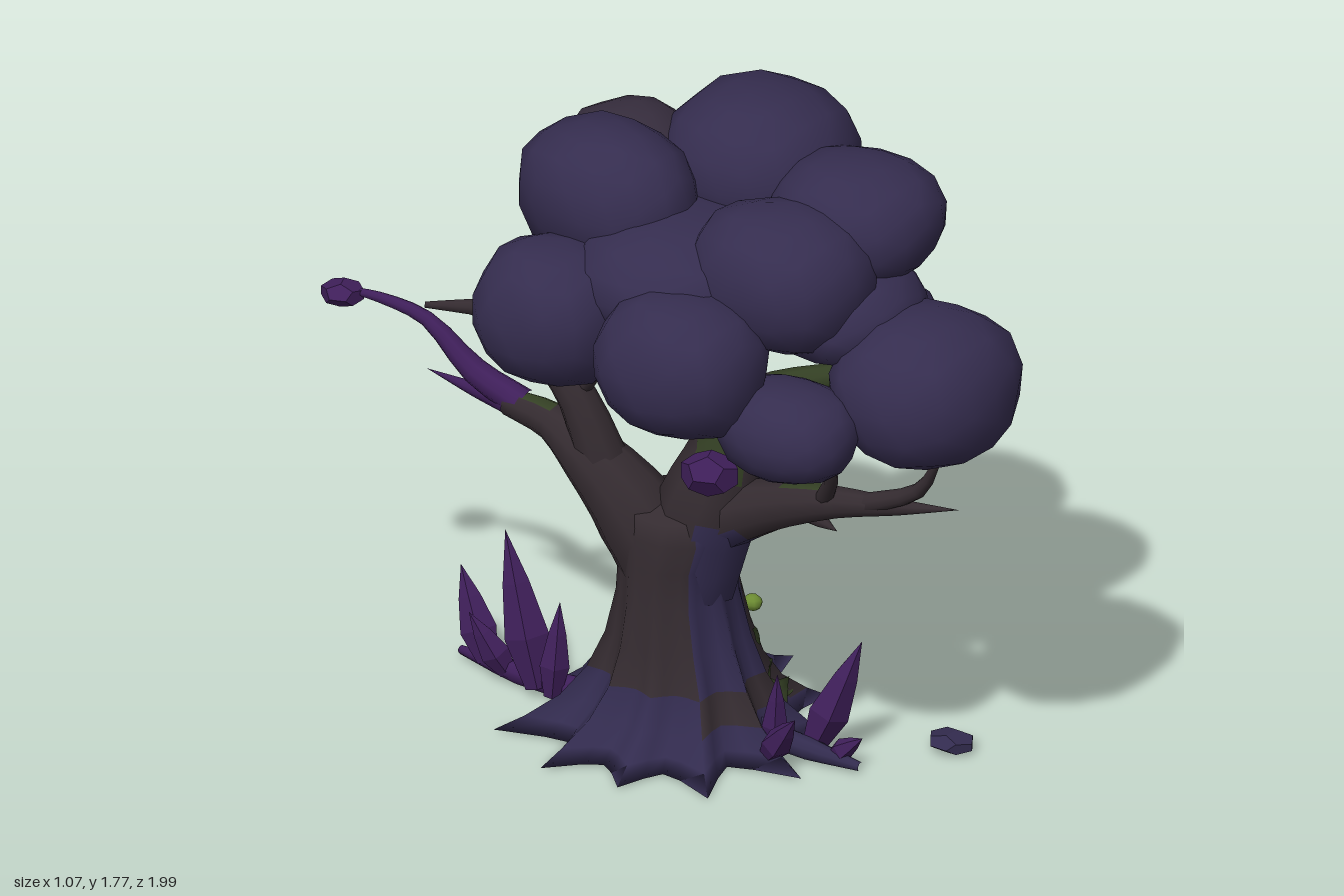
import * as THREE from 'three';
import { mergeVertices } from 'three/addons/utils/BufferGeometryUtils.js';

const paint = (name, color) => {
  const m = new THREE.MeshStandardMaterial({ color });
  m.name = name;
  return m;
};
const foliage = paint('duskFoliage', 0x352d4f);
const withered = paint('witheredFoliage', 0x352c3c);
const rootBlue = paint('blueBark', 0x322b4e);
const bark = paint('brownBark', 0x342b30);
const moss = paint('darkMoss', 0x344024);
const glow = paint('brightMoss', 0x6c8b32);
const crystal = paint('purpleCrystal', 0x3f1f5a);

// Grid surface from fn(u, v); pick(u, v) chooses a material index for each quad
function surface(fn, nu, nv, wrap, pick = () => 0) {
  const pos = [], lists = [], cols = wrap ? nu : nu + 1;
  for (let j = 0; j <= nv; j++)
    for (let i = 0; i < cols; i++) pos.push(...fn(i / nu, j / nv).toArray());
  for (let j = 0; j < nv; j++)
    for (let i = 0; i < nu; i++) {
      const k = (i + 1) % cols, a = j * cols + i, b = j * cols + k;
      const list = (lists[pick((i + 0.5) / nu, (j + 0.5) / nv)] ??= []);
      list.push(a, b, b + cols, a, b + cols, a + cols);
    }
  const g = new THREE.BufferGeometry();
  g.setAttribute('position', new THREE.Float32BufferAttribute(pos, 3));
  const index = [];
  lists.forEach((l, m) => { g.addGroup(index.length, l.length, m); index.push(...l); });
  g.setIndex(index);
  g.computeVertexNormals();
  return g;
}

// Value of a table column at t in 0..1
function sample(rows, col, t) {
  const f = t * (rows.length - 1), i = Math.min(Math.floor(f), rows.length - 2);
  return THREE.MathUtils.lerp(rows[i][col], rows[i + 1][col], f - i);
}

// Round tapering limb through rows of [x, y, z, radius]; u = 0 faces +x
function limbShape(rows) {
  const curve = new THREE.CatmullRomCurve3(rows.map(r => new THREE.Vector3(r[0], r[1], r[2])));
  return (u, v, lift = 0) => {
    const t = curve.getTangent(v), a = u * Math.PI * 2;
    const n = new THREE.Vector3(1, 0, 0).addScaledVector(t, -t.x).normalize();
    const b = t.clone().cross(n), r = sample(rows, 3, v) + lift;
    return curve.getPoint(v).addScaledVector(n, r * Math.cos(a)).addScaledVector(b, r * Math.sin(a));
  };
}

export function createModel() {
  const tree = new THREE.Group();
  tree.name = 'tree';
  const add = (name, geometry, material) => {
    const m = new THREE.Mesh(geometry, material);
    m.name = name;
    tree.add(m);
    return m;
  };
  const limb = (name, rows, mats = bark, pick, sides = 9) => {
    const fn = limbShape(rows);
    const list = Array.isArray(mats) ? mats : [mats];
    add(name, surface(fn, sides, (rows.length - 1) * 3, true, pick), list);
    return fn;
  };
  // Thin ragged strip lying on a limb or trunk surface
  const strip = (name, fn, u0, u1, v0, v1, width, mat) =>
    add(name, surface((u, v) => {
      const wave = 0.02 * Math.sin(v * 13) + (u - 0.5) * width * (0.6 + 0.4 * Math.sin(v * 9 + 1));
      return fn(u0 + (u1 - u0) * v + wave, v0 + (v1 - v0) * v, 0.006);
    }, 2, 14, false), mat);

  // Trunk with star-shaped roots: rows of [y, radiusX, radiusZ, root length, centreZ]
  const T = [
    [0.01, 0, 0, 0, -0.04], [0.01, 0.31, 0.28, 0.16, -0.04], [0.045, 0.28, 0.26, 0.11, -0.04],
    [0.1, 0.23, 0.225, 0.07, -0.035], [0.18, 0.19, 0.19, 0.045, -0.03], [0.28, 0.175, 0.16, 0.025, -0.03],
    [0.4, 0.162, 0.14, 0.012, -0.035], [0.5, 0.158, 0.14, 0.008, -0.035],
    [0.58, 0.157, 0.165, 0.004, -0.03], [0.64, 0.145, 0.15, 0, -0.03], [0.67, 0, 0, 0, -0.03],
  ];
  const trunk = (u, v, lift = 0) => {
    const a = u * Math.PI * 2, s = c => sample(T, c, v);
    const root = s(3) * (1 - Math.abs(Math.sin(5.5 * a))) * (0.85 + 0.25 * Math.sin(a * 3 + 1));
    return new THREE.Vector3(0.067 + Math.cos(a) * (s(1) + root + lift), s(0),
      s(4) - Math.sin(a) * (s(2) + root + lift));
  };
  add('trunkAndRoots', surface(trunk, 44, 10, true, (u, v) => {
    const front = u > 0.64 && u < 0.88, ridge = u > 0.88 && u < 0.96;
    return (v > 0.4 && !front) || (ridge && v > 0.2) || (front && v > 0.3 && v < 0.4) ? 1 : 0;
  }), [rootBlue, bark]);
  strip('trunkVein', trunk, -0.05, 0.1, 0.51, 0.67, 0.06, glow);
  strip('trunkMoss', trunk, -0.13, -0.06, 0.22, 0.5, 0.05, moss);
  add('mossKnob', new THREE.SphereGeometry(0.022, 8, 6).scale(1.1, 1, 1.2), glow).position.set(0.26, 0.3, 0.05);

  // Main stem and the limbs that carry the crown
  const stem = limb('mainStem', [[0.07, 0.42, 0, 0.12], [0.085, 0.65, 0.05, 0.135], [0.1, 0.83, 0.1, 0.1],
    [0.1, 1, 0.08, 0.08], [0.11, 1.17, 0.14, 0.055], [0.14, 1.38, 0.2, 0.035]], [bark, moss, rootBlue],
    (u, v) => (v < 0.2 && u > 0.6 && u < 0.9) ? 2 : (v > 0.75 && u < 0.25) || (v > 0.35 && v < 0.5 && u > 0.4 && u < 0.7) ? 1 : 0);
  strip('stemVein', stem, 0.06, -0.01, 0.17, 0.95, 0.1, glow);
  limb('crownLimbFront', [[0.1, 0.9, 0.09, 0.06], [0.1, 1.02, 0.25, 0.05], [0.12, 1.12, 0.45, 0.03]],
    [bark, moss], (u, v) => v > 0.5 ? 1 : 0);
  const rear = limb('crownLimbBack', [[0.1, 0.95, 0.07, 0.07], [0.12, 1.17, -0.03, 0.055], [0.12, 1.4, -0.17, 0.04]],
    [bark, moss], (u, v) => v > 0.5 && u < 0.6 ? 1 : 0);
  strip('rearVein', rear, 0.02, 0, 0.65, 0.9, 0.1, glow);
  const twig = limb('crownTwigSide', [[0.12, 1.1, 0.12, 0.035], [0.28, 1.33, 0.16, 0.022], [0.43, 1.45, 0.18, 0]], moss);
  strip('twigVein', twig, 0.05, 0, 0.1, 0.6, 0.3, glow);

  // Bare front branch with twigs
  limb('frontBranch', [[0.08, 0.6, 0.04, 0.1], [0.08, 0.7, 0.24, 0.07], [0.08, 0.775, 0.46, 0.042],
    [0.11, 0.8, 0.63, 0.022], [0.14, 0.83, 0.8, 0]], [bark, moss, rootBlue],
    (u, v) => v < 0.17 && u > 0.5 ? 2 : v > 0.3 && v < 0.5 && u < 0.3 ? 1 : 0);
  limb('frontTwigLong', [[0.09, 0.79, 0.54, 0.028], [0.1, 0.87, 0.7, 0.02], [0.07, 1.02, 0.8, 0.006]]);
  limb('frontTwigShort', [[0.07, 0.77, 0.42, 0.025], [0.0, 0.9, 0.5, 0.016], [-0.08, 1.03, 0.5, 0.006]]);
  limb('leafTwig', [[0.0, 0.9, 0.5, 0.014], [-0.12, 0.98, 0.46, 0.01], [-0.32, 1.03, 0.39, 0.006]]);
  limb('frontSnag', [[0.1, 0.72, 0.3, 0.035], [0.09, 0.7, 0.4, 0.018], [0.09, 0.685, 0.45, 0]]);

  // Back limb: bare fork upward and a purple branch reaching out
  const back = limb('backLimb', [[0.04, 0.4, -0.03, 0.11], [0.01, 0.59, -0.12, 0.115], [-0.03, 0.74, -0.25, 0.08],
    [-0.03, 0.8, -0.37, 0.05], [-0.04, 0.82, -0.5, 0.036]], [bark, moss], (u, v) => v > 0.75 && (u < 0.3 || u > 0.7) ? 1 : 0);
  strip('backVein', back, 0, -0.08, 0.28, 0.52, 0.07, glow);
  limb('bareFork', [[-0.02, 0.7, -0.2, 0.07], [-0.05, 0.9, -0.27, 0.052], [-0.07, 1.02, -0.36, 0.042],
    [-0.1, 1.13, -0.42, 0.028], [-0.11, 1.28, -0.43, 0.012]]);
  limb('bareForkTip', [[-0.08, 1.04, -0.37, 0.035], [-0.14, 1.12, -0.48, 0.026], [-0.23, 1.13, -0.62, 0.008]]);
  limb('bareSnag', [[-0.04, 0.93, -0.27, 0.03], [-0.06, 1, -0.19, 0.01], [-0.06, 1.03, -0.12, 0]]);
  limb('purpleBranch', [[-0.03, 0.82, -0.46, 0.042], [-0.05, 0.88, -0.6, 0.035], [-0.08, 1, -0.73, 0.02],
    [-0.12, 1.04, -0.85, 0.014], [-0.15, 1.05, -0.93, 0.008]], crystal);
  limb('purpleTwig', [[-0.04, 0.82, -0.48, 0.036], [-0.02, 0.81, -0.62, 0.02], [0, 0.81, -0.79, 0]], crystal);

  // Purple bud leaves
  [[-0.155, 1.04, -0.94, 0.055, 0.034, 0.06], [-0.35, 1, 0.38, 0.06, 0.06, 0.08]].forEach(([x, y, z, ...s]) => {
    const g = new THREE.DodecahedronGeometry(1, 0).scale(...s).rotateY(0.4);
    add('budLeaf', g, crystal).position.set(x, y, z);
  });

  // Lumpy, slightly boxy foliage clumps: [x, y, z, rx, ry, rz]
  const clump = (name, [x, y, z, ...r], mat) => {
    let g = new THREE.IcosahedronGeometry(1, 2);
    g.deleteAttribute('normal');
    g.deleteAttribute('uv');
    g = mergeVertices(g);
    const p = g.attributes.position, v = new THREE.Vector3();
    for (let i = 0; i < p.count; i++) {
      v.fromBufferAttribute(p, i);
      const box = Math.cbrt(Math.abs(v.x) ** 3 + Math.abs(v.y) ** 3 + Math.abs(v.z) ** 3);
      const lump = 1 + 0.04 * Math.sin(v.x * 4 + x * 40) * Math.cos(v.z * 4 + z * 30 + v.y * 3);
      v.multiplyScalar(0.98 * lump / Math.sqrt(box));
      p.setXYZ(i, v.x * r[0], v.y * r[1], v.z * r[2]);
    }
    g.computeVertexNormals();
    add(name, g, mat).position.set(x, y, z);
  };
  [
    [0.05, 1.21, 0.765, 0.25, 0.205, 0.235], [-0.34, 1.28, 0.28, 0.19, 0.19, 0.23],
    [-0.24, 1.13, 0.55, 0.155, 0.13, 0.19], [-0.08, 1.46, 0.4, 0.21, 0.19, 0.25],
    [0.16, 1.555, 0.46, 0.21, 0.16, 0.23], [0.235, 1.58, 0.1, 0.25, 0.2, 0.25],
    [-0.1, 1.54, -0.13, 0.19, 0.195, 0.25], [0.07, 1.4, -0.31, 0.16, 0.115, 0.155],
    [-0.34, 1.31, -0.12, 0.19, 0.19, 0.21], [0.25, 1.22, 0.43, 0.13, 0.13, 0.21],
    [-0.1, 1.4, 0.12, 0.3, 0.17, 0.28], [0.04, 1.36, 0.5, 0.22, 0.13, 0.22],
  ].forEach(c => clump('foliageClump', c, foliage));
  clump('witheredClump', [0.08, 1.53, -0.2, 0.17, 0.17, 0.185], withered);

  // Faceted shards from a base point to a tip
  const shard = (name, [x, y, z, tx, ty, tz, r], mat) => {
    const at = (t, k) => [x + (tx - x) * t, y + (ty - y) * t, z + (tz - z) * t, r * k];
    const g = surface(limbShape([at(0, 0.55), at(0.33, 1), at(0.67, 0.6), at(1, 0)]), 5, 3, true).toNonIndexed();
    g.clearGroups();
    g.computeVertexNormals();
    add(name, g, mat);
  };
  [
    [0.13, 0.03, 0.34, 0.2, 0.33, 0.445, 0.055], [0.02, 0.03, 0.28, -0.02, 0.18, 0.4, 0.04],
    [0.06, 0.03, 0.27, 0.05, 0.25, 0.29, 0.035], [0.12, 0.03, 0.41, 0.13, 0.1, 0.5, 0.03],
    [-0.02, 0.03, -0.42, 0, 0.43, -0.54, 0.06], [0.02, 0.03, -0.61, 0.05, 0.26, -0.72, 0.05],
    [-0.04, 0.03, -0.36, -0.02, 0.29, -0.35, 0.04], [0, 0.03, -0.53, -0.06, 0.2, -0.61, 0.04],
    [0.36, 0.04, -0.22, 0.43, 0.17, -0.27, 0.05],
  ].forEach(c => shard('crystalShard', c, crystal));
  shard('barkThorn', [0.19, 0.28, -0.12, 0.26, 0.53, -0.29, 0.055], rootBlue);
  shard('barkThorn', [0.2, 0.06, -0.25, 0.31, 0.03, -0.47, 0.045], rootBlue);
  limb('crystalRootBack', [[0, 0.05, -0.25, 0.035], [0, 0.04, -0.5, 0.03], [0.04, 0.025, -0.71, 0.012]], crystal);
  limb('crystalRootFront', [[0.1, 0.05, 0.15, 0.035], [0.1, 0.04, 0.35, 0.03], [0.12, 0.025, 0.5, 0.012]], rootBlue);

  // Loose stone
  add('stone', new THREE.DodecahedronGeometry(1, 0).scale(0.06, 0.025, 0.07), rootBlue).position.set(0.37, 0.03, 0.6);
  return tree;
}
